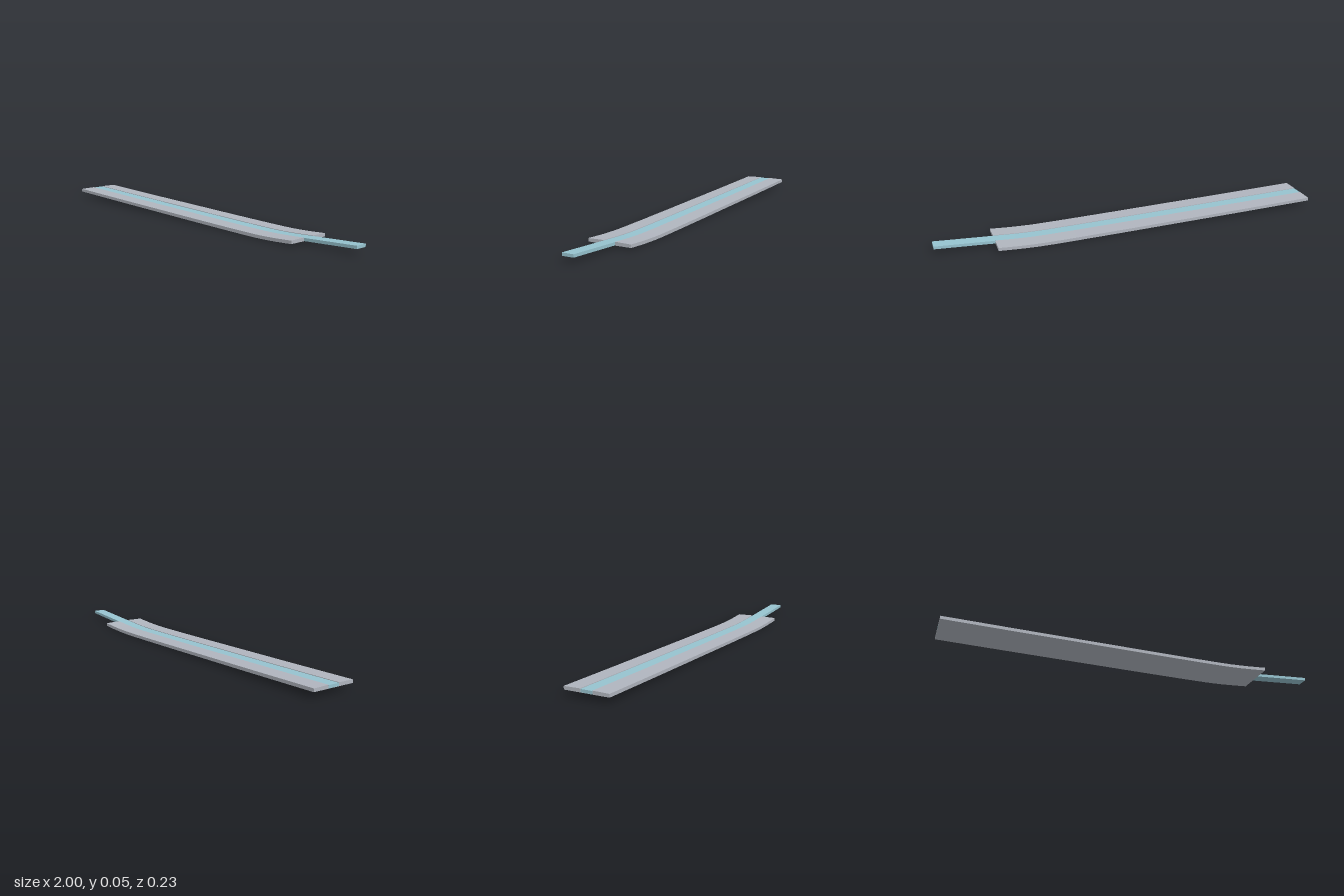
import * as THREE from 'three';

// Height of the underside along the length: a gentle sag that rises at the +x end
const sag = new THREE.CatmullRomCurve3([
  [-1, 0.029], [-0.6, 0.02], [-0.2, 0.012], [0.1, 0.006], [0.4, 0.0012], [0.5, 0.0008], [0.6, 0.004], [0.7, 0.01], [0.85, 0.019], [1, 0.028],
].map(([x, y]) => new THREE.Vector3(x, y, 0)));
const samples = sag.getPoints(300);

function bottomAt(x) {
  const i = Math.max(1, samples.findIndex((p) => p.x >= x - 1e-6));
  const a = samples[i - 1], b = samples[i];
  return Math.max(0, a.y + (b.y - a.y) * (x - a.x) / (b.x - a.x));
}

// Sweeps a (z, y) cross-section from x0 to x1, following the sag
function bentBar(outline, x0, x1, steps) {
  const shape = new THREE.Shape(outline.map(([z, y]) => new THREE.Vector2(-z, y)));
  const geometry = new THREE.ExtrudeGeometry(shape, { depth: x1 - x0, steps, bevelEnabled: false });
  geometry.rotateY(Math.PI / 2).translate(x0, 0, 0);
  const p = geometry.attributes.position;
  for (let i = 0; i < p.count; i++) p.setY(i, p.getY(i) + bottomAt(p.getX(i)));
  geometry.computeVertexNormals();
  return geometry;
}

export function createModel() {
  const model = new THREE.Group();
  model.name = 'bentPlateWithStrip';

  const grey = new THREE.MeshStandardMaterial({ name: 'plateGrey', color: 0xb0b5be });
  const teal = new THREE.MeshStandardMaterial({ name: 'stripTeal', color: 0x96c3cf });

  // Wide plate with a shallow channel along its middle
  const plate = new THREE.Mesh(bentBar([
    [-0.115, 0], [0.115, 0], [0.115, 0.016], [0.031, 0.0175], [0.031, 0.0006],
    [-0.031, 0.0006], [-0.031, 0.0175], [-0.115, 0.016],
  ], -1, 0.705, 34), grey);
  plate.name = 'plate';

  // Narrow strip lying in the channel and reaching past the plate
  const strip = new THREE.Mesh(bentBar([
    [-0.03, 0.0008], [0.03, 0.0008], [0.03, 0.0155], [-0.03, 0.0155],
  ], -1, 1, 40), teal);
  strip.name = 'strip';

  model.add(plate, strip);
  return model;
}
